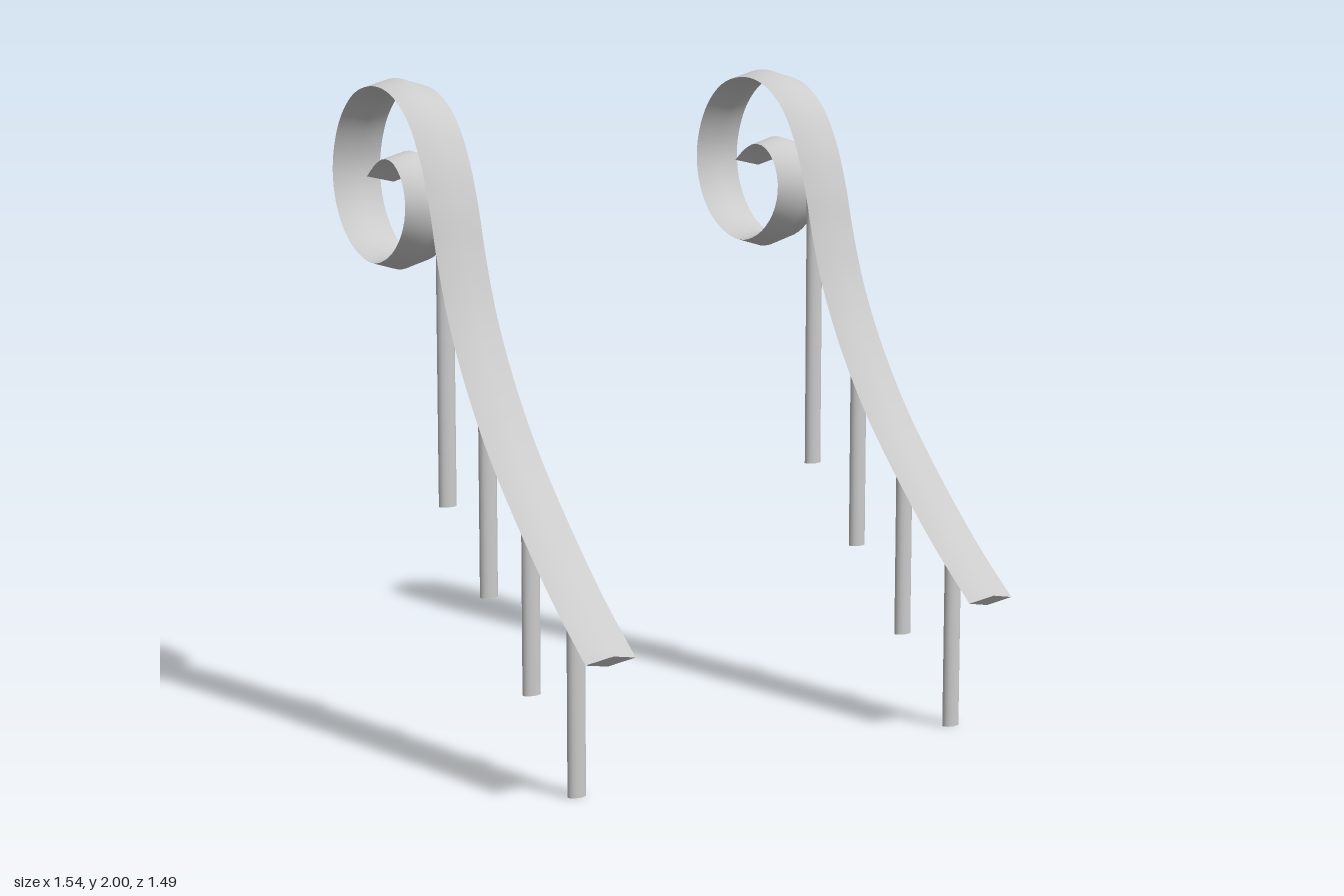
import * as THREE from 'three';
import { toCreasedNormals } from 'three/addons/utils/BufferGeometryUtils.js';

const RAIL_X = 0.687;
const HALF_WIDTH = 0.083;
const HALF_THICK = 0.023;
const STEPS = 130;

// Centre line of the handrail as [z, y], from the foot up into the scroll
const PATH = [
  [0.733, 0.43], [0.553, 0.585], [0.31, 0.835], [0.19, 0.98], [0.071, 1.16],
  [-0.015, 1.33], [-0.07, 1.485], [-0.112, 1.635], [-0.163, 1.767], [-0.238, 1.883],
  [-0.336, 1.953], [-0.447, 1.977], [-0.574, 1.95], [-0.672, 1.862], [-0.72, 1.724],
  [-0.696, 1.595], [-0.611, 1.492], [-0.474, 1.44], [-0.362, 1.468], [-0.283, 1.541],
  [-0.257, 1.627], [-0.281, 1.706], [-0.332, 1.752], [-0.389, 1.761], [-0.443, 1.741],
  [-0.495, 1.703],
];

// Posts as [z, bottom, top]
const POSTS = [
  [0.553, 0, 0.58], [0.31, 0.245, 0.83], [0.071, 0.49, 1.16], [-0.169, 0.725, 1.785],
];

// Sweeps a flat diamond section along the path
function railGeometry() {
  const curve = new THREE.CatmullRomCurve3(PATH.map(([z, y]) => new THREE.Vector3(0, y, z)));
  const positions = [];
  const index = [];
  for (let i = 0; i <= STEPS; i++) {
    const p = curve.getPointAt(i / STEPS);
    const t = curve.getTangentAt(i / STEPS);
    const ny = -t.z * HALF_THICK;
    const nz = t.y * HALF_THICK;
    positions.push(
      HALF_WIDTH, p.y, p.z,
      0, p.y + ny, p.z + nz,
      -HALF_WIDTH, p.y, p.z,
      0, p.y - ny, p.z - nz,
    );
    if (i === STEPS) break;
    for (let j = 0; j < 4; j++) {
      const a = i * 4 + j;
      const d = i * 4 + ((j + 1) % 4);
      index.push(a, a + 4, d + 4, a, d + 4, d);
    }
  }
  // End caps
  const e = STEPS * 4;
  index.push(0, 1, 2, 0, 2, 3, e, e + 2, e + 1, e, e + 3, e + 2);

  const geometry = new THREE.BufferGeometry();
  geometry.setAttribute('position', new THREE.Float32BufferAttribute(positions, 3));
  geometry.setIndex(index);
  return toCreasedNormals(geometry, 0.75);
}

export function createModel() {
  const model = new THREE.Group();
  model.name = 'handrails';
  const material = new THREE.MeshStandardMaterial({ color: 0xcccccc });
  const rail = railGeometry();

  for (const [side, name] of [[1, 'left'], [-1, 'right']]) {
    const group = new THREE.Group();
    group.name = `${name}Handrail`;
    group.position.x = side * RAIL_X;

    const railMesh = new THREE.Mesh(rail, material);
    railMesh.name = 'scrolledRail';
    group.add(railMesh);

    // Oval posts that step up under the rail
    POSTS.forEach(([z, bottom, top], i) => {
      const geometry = new THREE.CylinderGeometry(1, 1, top - bottom, 16);
      geometry.scale(0.029, 1, 0.018);
      const post = new THREE.Mesh(geometry, material);
      post.name = `post${i + 1}`;
      post.position.set(0, (top + bottom) / 2, z);
      group.add(post);
    });
    model.add(group);
  }
  return model;
}
